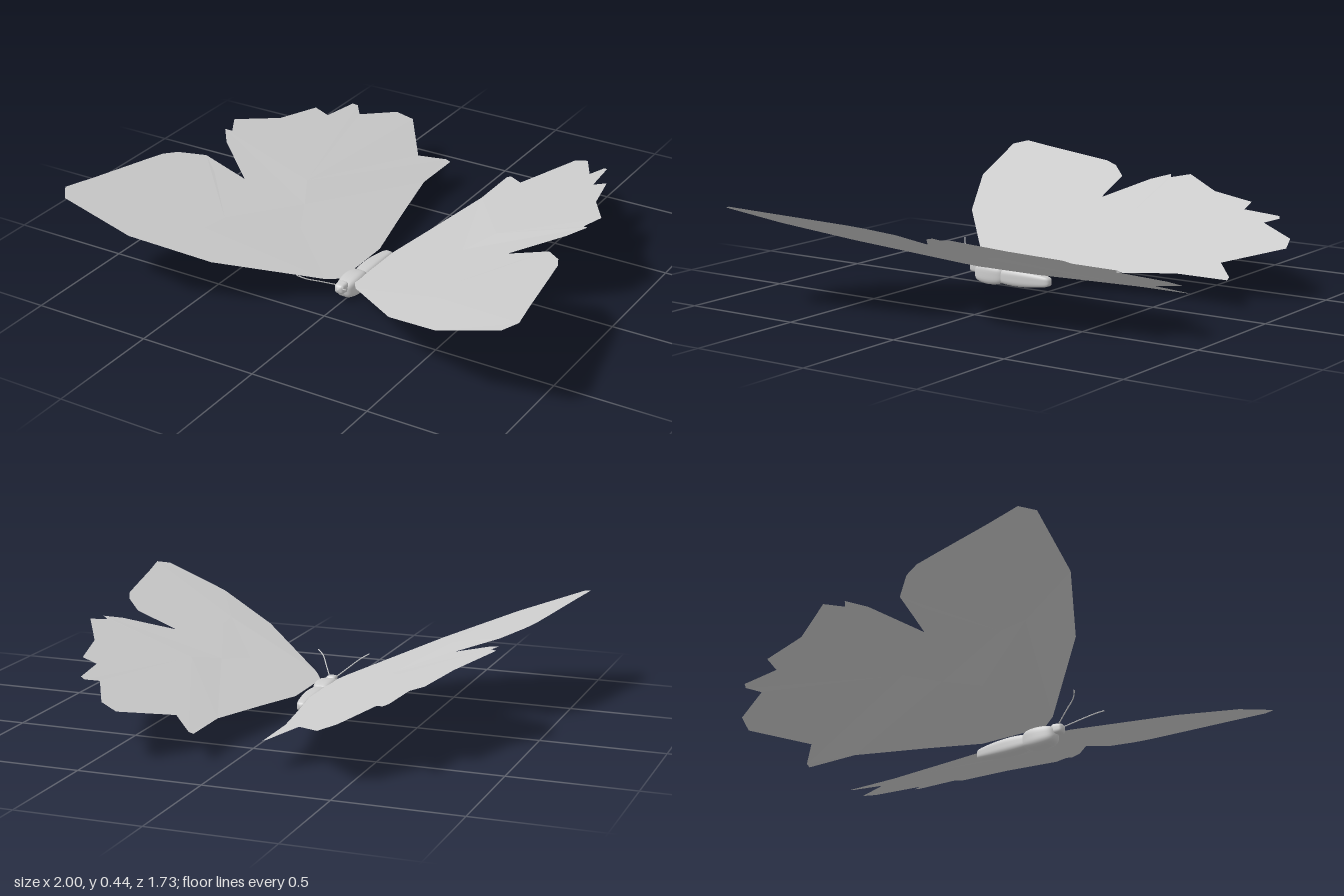
import * as THREE from 'three';

const bodyMat = new THREE.MeshStandardMaterial({ color: 0xcccccc });
const wingMat = new THREE.MeshStandardMaterial({ color: 0xcccccc, flatShading: true, side: THREE.DoubleSide });

// Shared seam corners of the wing, as [x, z]
const hindHub = [0.445, -0.075], foreHub = [0.515, 0.42], tipHub = [0.53, 0.54];
const cellInner = [0.37, 0.06], cellFront = [0.30, 0.20], cellOuter = [0.71, 0.21], cellNotch = [0.69, 0.145];
const hindA = [0.25, -0.66], hindB = [0.56, -0.68], hindC = [0.70, -0.545], hindD = [0.82, -0.08];
const waist = [0.79, 0.005], rearSeam = [0.90, 0.30], tipSeam = [0.97, 0.66], leading = [0.40, 0.68];
const hubs = [hindHub, foreHub, tipHub];

// Panels of one wing, outlined in plan
const panels = {
  wingBase: [[0.03, 0.03], [0.08, -0.21], [0.14, -0.52], [0.14, -0.75], [0.16, -0.75], hindA, hindHub, hindD,
    [0.845, -0.065], waist, cellInner, cellFront, foreHub, tipHub, leading, [0.07, 0.38], [0.03, 0.32]],
  hindwingInnerLobe: [hindHub, hindA, [0.40, -0.87], [0.47, -0.85], hindB],
  hindwingMiddleLobe: [hindHub, hindB, [0.60, -0.73], [0.62, -0.72], [0.64, -0.545], hindC],
  hindwingOuterLobe: [hindHub, hindC, [0.75, -0.34], [0.86, -0.155], hindD],
  wingCell: [cellInner, waist, [0.61, 0.14], cellNotch, cellOuter, foreHub, cellFront],
  forewingRear: [foreHub, cellOuter, cellNotch, [0.79, 0.15], [0.87, 0.235], rearSeam],
  forewingMiddle: [foreHub, rearSeam, [0.92, 0.40], tipSeam, tipHub],
  forewingTip: [tipHub, tipSeam, [1, 0.80], [0.96, 0.855], [0.68, 0.825], leading],
};

// Lay a plan outline on the sloping wing plane; hubs are pleated up very slightly
function wingPanel(name, outline, side, slope) {
  const geo = new THREE.ShapeGeometry(new THREE.Shape(outline.map(([x, z]) => new THREE.Vector2(x, z))));
  const p = geo.attributes.position;
  for (let i = 0; i < p.count; i++) {
    const x = p.getX(i), z = p.getY(i);
    const pleat = hubs.some(h => Math.hypot(h[0] - x, h[1] - z) < 0.001) ? 0.005 : 0;
    p.setXYZ(i, side * x, 0.065 + slope * x + pleat, z);
  }
  geo.computeVertexNormals();
  const mesh = new THREE.Mesh(geo, wingMat);
  mesh.name = name;
  return mesh;
}

// Turned body part along z with softly squared cross-section; profile is [radius, z]
function bodyPart(name, profile, y) {
  const curve = new THREE.SplineCurve(profile.map(([r, z]) => new THREE.Vector2(r, z)));
  const pts = curve.getPoints(24).map(v => new THREE.Vector2(Math.max(v.x, 0), v.y));
  const geo = new THREE.LatheGeometry(pts, 32);
  const p = geo.attributes.position;
  for (let i = 0; i < p.count; i++) {
    const a = Math.atan2(p.getZ(i), p.getX(i));
    const k = Math.pow(Math.cos(a) ** 4 + Math.sin(a) ** 4, -0.25);
    p.setX(i, p.getX(i) * k);
    p.setZ(i, p.getZ(i) * k);
  }
  geo.computeVertexNormals();
  geo.rotateX(Math.PI / 2);
  const mesh = new THREE.Mesh(geo, bodyMat);
  mesh.name = name;
  mesh.position.set(-0.005, y, 0);
  return mesh;
}

export function createModel() {
  const model = new THREE.Group();
  model.name = 'butterfly';

  // Body
  const body = new THREE.Group();
  body.name = 'body';
  body.add(
    bodyPart('abdomen', [[0, -0.01], [0.018, 0], [0.027, 0.05], [0.033, 0.12], [0.033, 0.18], [0.026, 0.23], [0, 0.25]], 0.043),
    bodyPart('thorax', [[0, 0.20], [0.03, 0.22], [0.041, 0.26], [0.04, 0.31], [0.028, 0.35], [0, 0.365]], 0.046),
    bodyPart('head', [[0, 0.335], [0.02, 0.345], [0.021, 0.365], [0.017, 0.385], [0, 0.394]], 0.065),
  );
  model.add(body);

  for (const side of [1, -1]) {
    const label = side > 0 ? 'left' : 'right';

    // Wing
    const wing = new THREE.Group();
    wing.name = label + 'Wing';
    for (const [name, outline] of Object.entries(panels)) {
      wing.add(wingPanel(name, outline, side, side > 0 ? 0.355 : 0.375));
    }
    model.add(wing);

    // Antenna
    const path = new THREE.CatmullRomCurve3([[0.012, 0.075, 0.37], [0.05, 0.108, 0.43], [0.085, 0.137, 0.485], [0.115, 0.155, 0.508]]
      .map(([x, y, z]) => new THREE.Vector3(side * x - 0.005, y, z)));
    const antenna = new THREE.Mesh(new THREE.TubeGeometry(path, 20, 0.0025, 8), bodyMat);
    antenna.name = label + 'Antenna';
    model.add(antenna);
  }
  return model;
}
